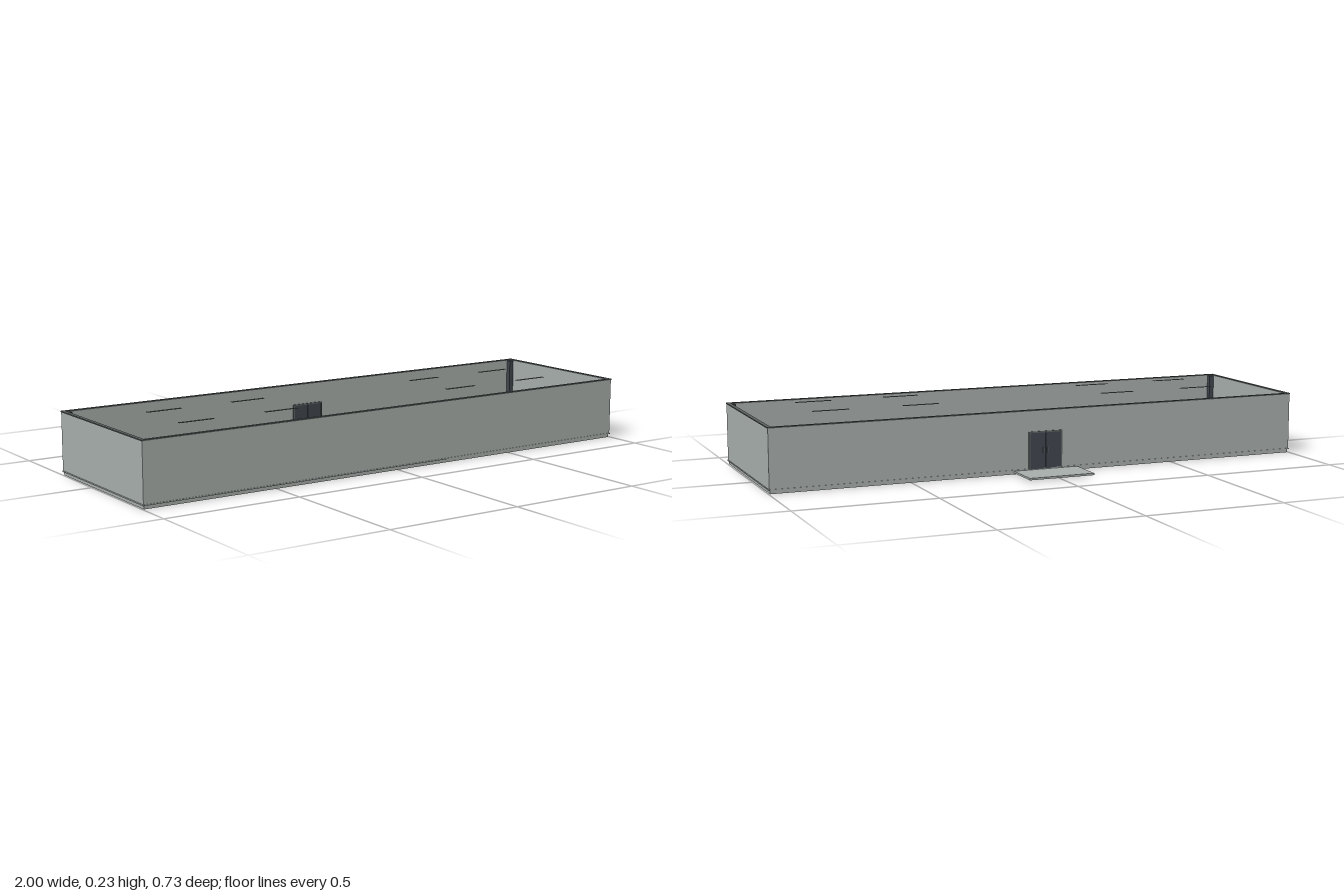
import * as THREE from 'three';

const mat = (name, color) => {
  const m = new THREE.MeshStandardMaterial({ color });
  m.name = name;
  return m;
};

export function createModel() {
  const group = new THREE.Group();
  const panel = mat('panelGrey', 0xa6adaa);
  const trim = mat('trimGrey', 0x5c6261);
  const dark = mat('darkSteel', 0x40454d);
  const yellow = mat('markingYellow', 0xc9a030);

  // Box given by its two corners
  const box = (name, material, x0, x1, y0, y1, z0, z1, parent = group) => {
    const mesh = new THREE.Mesh(new THREE.BoxGeometry(x1 - x0, y1 - y0, z1 - z0), material);
    mesh.position.set((x0 + x1) / 2, (y0 + y1) / 2, (z0 + z1) / 2);
    mesh.name = name;
    parent.add(mesh);
    return mesh;
  };

  const X = 1, ZB = -0.225, ZF = 0.365, FLOOR = 0.014;

  // Rectangular ring of four bars, standing between y0 and y1
  const ring = (name, material, x0, x1, y0, y1, z0, z1, t) => {
    const g = new THREE.Group();
    g.name = name;
    box(name + 'Back', material, x0, x1, y0, y1, z0, z0 + t, g);
    box(name + 'Front', material, x0, x1, y0, y1, z1 - t, z1, g);
    box(name + 'Right', material, x0, x0 + t, y0, y1, z0 + t, z1 - t, g);
    box(name + 'Left', material, x1 - t, x1, y0, y1, z0 + t, z1 - t, g);
    group.add(g);
    return g;
  };

  // Floor slab, set in slightly from the walls
  box('floorSlab', panel, -X + 0.005, X - 0.005, 0, FLOOR, ZB + 0.004, ZF - 0.004);

  // Side and front walls
  const W = 0.01, WI = 0.002, Y0 = 0.016, Y1 = 0.221;
  const xo = X - WI, zb = ZB + WI, zf = ZF - WI;
  box('frontWall', panel, -xo, xo, Y0, Y1, zf - W, zf);
  for (const s of [-1, 1]) {
    const a = s * xo, b = s * (xo - W);
    box('sideWall', panel, Math.min(a, b), Math.max(a, b), Y0, Y1, zb + W, zf - W);
  }

  // Back wall around the doorway
  const D = 0.064, DH = 0.148;
  box('backWallRight', panel, -xo, -D, Y0, Y1, zb, zb + W);
  box('backWallLeft', panel, D, xo, Y0, Y1, zb, zb + W);
  box('backWallLintel', panel, -D, D, DH, Y1, zb, zb + W);

  // Base and top rails
  ring('baseRail', panel, -X, X, 0.012, Y0, ZB, ZF, 0.013);
  ring('topRail', trim, -X, X, Y1, 0.225, ZB, ZF, 0.014);

  // Inner corner posts
  for (const s of [-1, 1]) {
    for (const z of [zb + W + 0.009, zf - W - 0.009]) {
      const x = s * (xo - W - 0.009);
      box('cornerPost', dark, x - 0.009, x + 0.009, FLOOR, Y1, z - 0.009, z + 0.009);
    }
  }

  // Double door with frame and handles
  const door = new THREE.Group();
  door.name = 'doubleDoor';
  group.add(door);
  for (const s of [-1, 1]) {
    const span = (a, b) => (s > 0 ? [a, b] : [-b, -a]);
    box('doorLeaf', dark, ...span(0.001, D - 0.005), FLOOR, DH - 0.005, ZB, ZB + 0.014, door);
    box('doorJamb', trim, ...span(D - 0.005, D), FLOOR, DH, ZB - 0.001, ZB + 0.017, door);
    box('doorHandle', trim, ...span(0.006, 0.01), 0.07, 0.09, ZB - 0.002, ZB + 0.016, door);
  }
  box('doorHead', trim, -D + 0.005, D - 0.005, DH - 0.005, DH, ZB - 0.001, ZB + 0.017, door);

  // Landing outside the door
  box('landing', panel, -0.124, 0.12, 0.005, 0.012, -0.365, ZB + 0.005);

  // Hanging light strips: housing with a paler lid
  for (const x of [-0.722, -0.39, 0.385, 0.716]) {
    for (const z of [0, 0.221]) {
      box('lightHousing', trim, x - 0.066, x + 0.066, 0.232, 0.2335, z - 0.006, z + 0.006);
      box('lightLid', panel, x - 0.062, x + 0.062, 0.2335, 0.234, z - 0.004, z + 0.004);
    }
  }

  // Floor marking outlines: x0, x1, z0, z1
  const marks = [
    [-0.025, 0.025, -0.17, -0.075],
    [0.43, 0.483, -0.16, -0.07],
    [0.15, 0.22, -0.01, 0.085],
    [0.43, 0.483, 0.05, 0.14],
    [0.15, 0.23, 0.155, 0.22],
    [-0.425, -0.375, 0.01, 0.11],
  ];
  for (const [x0, x1, z0, z1] of marks) {
    ring('floorMarking', yellow, x0, x1, FLOOR, FLOOR + 0.001, z0, z1, 0.004);
  }

  return group;
}
